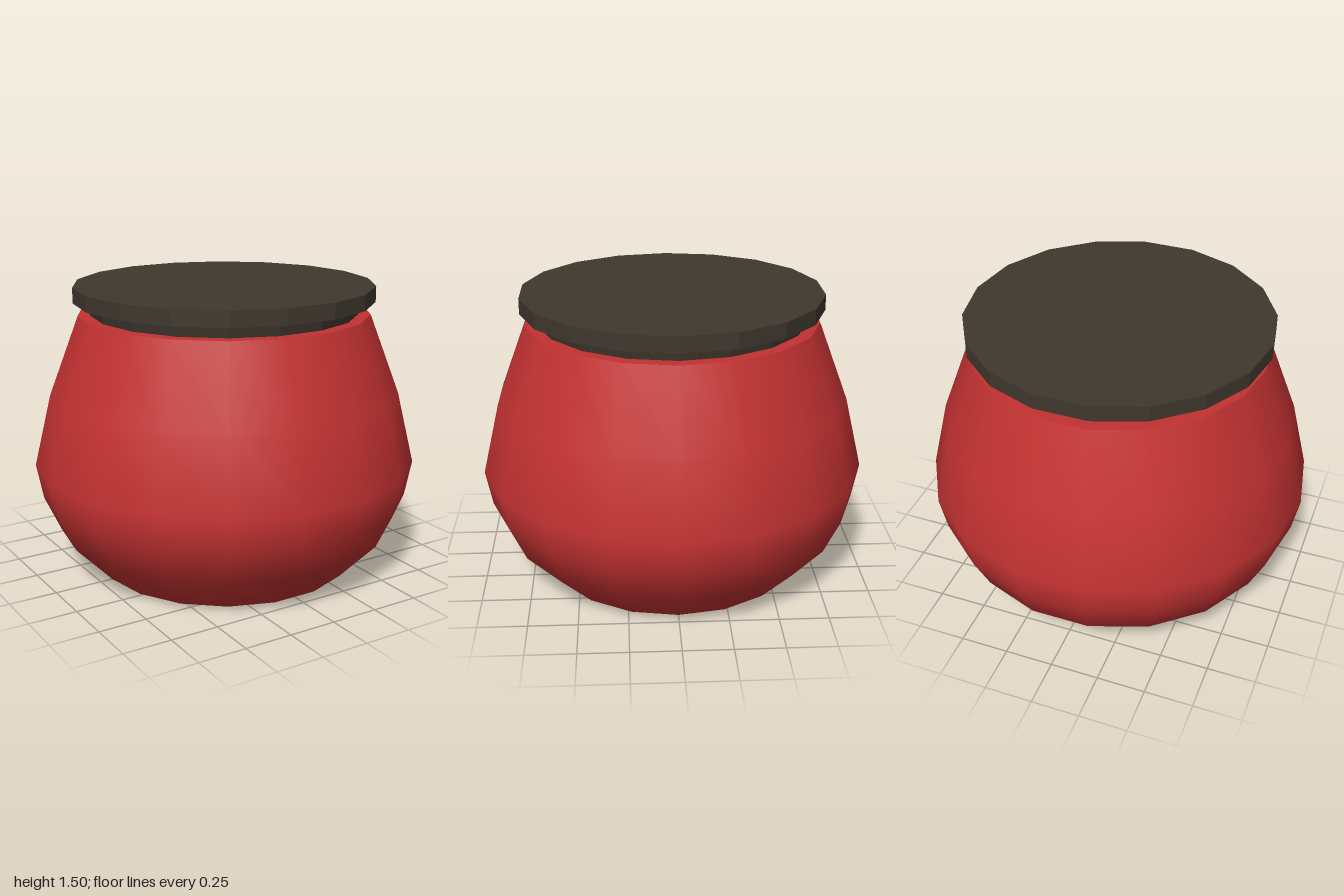
import * as THREE from 'three';

const SIDES = 18;
const START = Math.PI / 2; // puts a corner on the x axis

export function createModel() {
  const red = new THREE.MeshStandardMaterial({ color: 0xc43232 });
  red.name = 'red glaze';
  const dark = new THREE.MeshStandardMaterial({ color: 0x40382f });
  dark.name = 'dark brown';

  const pot = new THREE.Group();
  pot.name = 'pot';

  const add = (name, geometry, material, y = 0) => {
    const mesh = new THREE.Mesh(geometry, material);
    mesh.name = name;
    mesh.position.y = y;
    pot.add(mesh);
    return mesh;
  };

  // Faceted disc between two heights
  const disc = (name, rTop, rBottom, y0, y1) => {
    const g = new THREE.CylinderGeometry(rTop, rBottom, y1 - y0, SIDES, 1, false, START).toNonIndexed();
    g.computeVertexNormals();
    add(name, g, dark, (y0 + y1) / 2);
  };

  // Smooth rounded wall
  const profile = [
    [0.685, 0], [0.88, 0.205], [0.965, 0.39], [1, 0.575], [0.91, 0.945], [0.755, 1.35],
  ].map(([r, y]) => new THREE.Vector2(r, y));
  add('body', new THREE.LatheGeometry(profile, SIDES, START), red);

  // Flat base and shoulder, with sharp edges to the wall
  const base = new THREE.CircleGeometry(0.685, SIDES).rotateX(Math.PI / 2);
  add('base', base, red);
  const shoulder = new THREE.CircleGeometry(0.755, SIDES).rotateX(-Math.PI / 2);
  add('shoulder', shoulder, red, 1.35);

  // Stopper and lid
  disc('neck', 0.705, 0.69, 1.345, 1.415);
  disc('lid', 0.777, 0.777, 1.415, 1.495);

  return pot;
}
